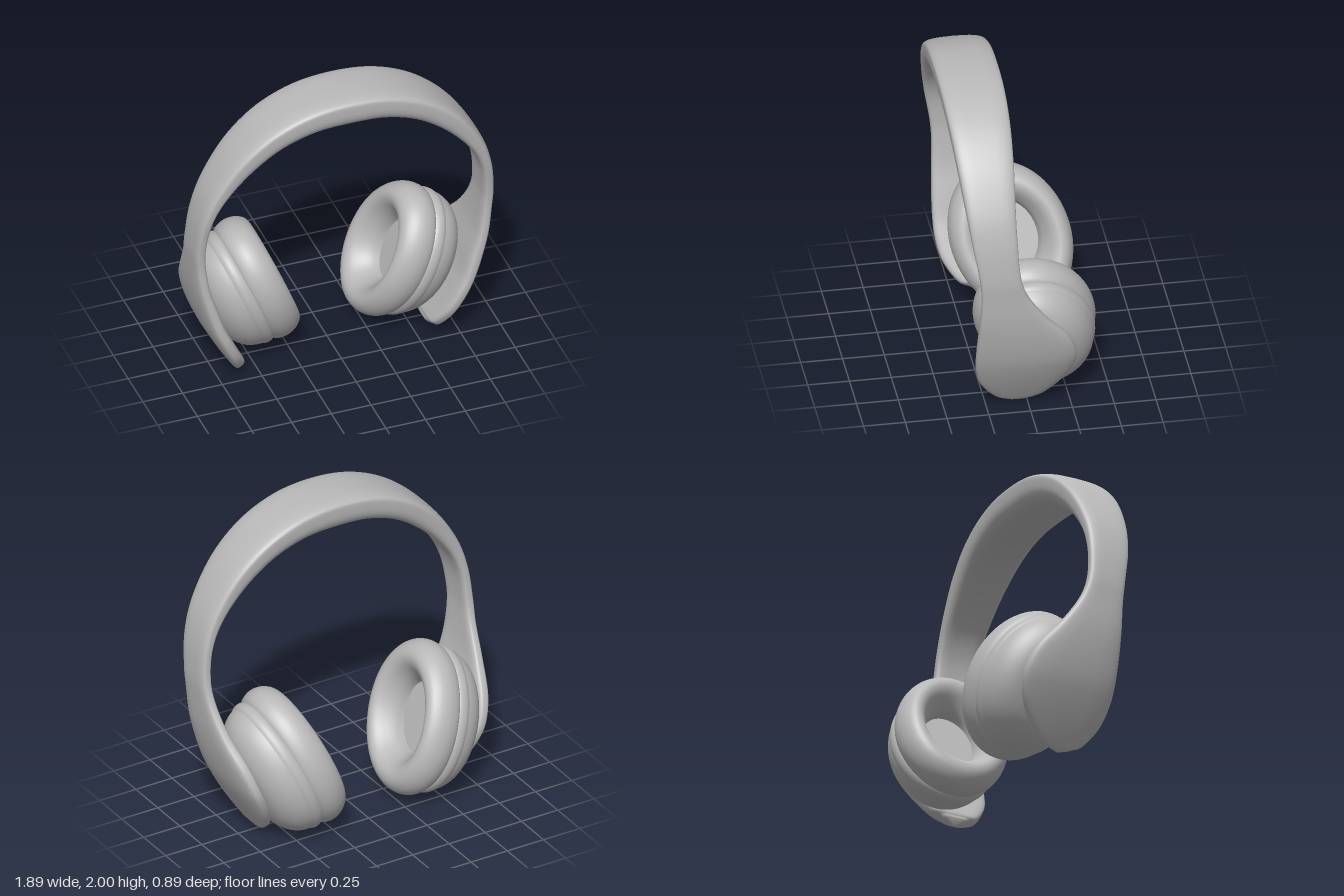
import * as THREE from 'three';

const grey = new THREE.MeshStandardMaterial({ color: 0xb8b8b8 });
grey.name = 'soft grey';

// Half of the band, crown to tip: outer x, outer y, thickness, back z, front z
const STATIONS = [
  [0, 2, 0.21, 0.07, 0.45],
  [0.26, 1.97, 0.197, 0.07, 0.447],
  [0.5, 1.867, 0.175, 0.075, 0.437],
  [0.7, 1.695, 0.147, 0.087, 0.42],
  [0.85, 1.465, 0.1, 0.1, 0.393],
  [0.918, 1.26, 0.073, 0.1, 0.365],
  [0.942, 1.05, 0.07, 0.085, 0.33],
  [0.937, 0.9, 0.07, 0.04, 0.318],
  [0.922, 0.72, 0.08, -0.075, 0.323],
  [0.89, 0.55, 0.095, -0.21, 0.33],
  [0.845, 0.4, 0.095, -0.267, 0.332],
  [0.79, 0.28, 0.095, -0.26, 0.325],
  [0.72, 0.155, 0.09, -0.205, 0.29],
  [0.65, 0.045, 0.08, -0.11, 0.205],
  [0.622, 0.01, 0.06, -0.02, 0.12],
];

const power = (v, e) => Math.sign(v) * Math.abs(v) ** e;

// Headband and both paddles: one loft of rounded sections along the arch
function bandGeometry() {
  const all = [
    ...STATIONS.slice(1).reverse().map(([x, ...rest]) => [-x, ...rest]),
    ...STATIONS,
  ];
  const curve = (f) => new THREE.CatmullRomCurve3(all.map(f), false, 'catmullrom', 0.5);
  const path = curve(([x, y]) => new THREE.Vector3(x, y, 0));
  const size = curve(([, , t, b, f]) => new THREE.Vector3(t, b, f));
  const rows = 168, ring = 48;
  const pos = [], index = [];

  for (let i = 0; i <= rows; i++) {
    const u = i / rows;
    const p = path.getPoint(u), s = size.getPoint(u), t = path.getTangent(u);
    const edge = Math.min(0.045, s.x / 2);
    const mid = (s.y + s.z) / 2, half = (s.z - s.y) / 2;
    // the thick crown padding is rounder than the thin sides
    const padPower = 0.45 + 0.22 * THREE.MathUtils.clamp((s.x - 0.1) / 0.1, 0, 1);
    for (let j = 0; j < ring; j++) {
      const a = (j / ring) * Math.PI * 2;
      const c = Math.cos(a), n = Math.sin(a);
      const across = power(c, n >= 0 ? 0.45 : padPower);
      // crisp outside edge, padded inside, whole section slightly domed
      const section = n >= 0 ? edge * (power(n, 0.5) - 1) : -edge + (s.x - edge) * power(n, 0.72);
      const depth = section - 0.28 * (half * across) ** 2;
      pos.push(p.x - t.y * depth, p.y + t.x * depth, mid + half * across);
    }
  }
  for (let i = 0; i < rows; i++) {
    for (let j = 0; j < ring; j++) {
      const k = (j + 1) % ring;
      const a = i * ring + j, b = i * ring + k;
      index.push(a, a + ring, b, b, a + ring, b + ring);
    }
  }
  // rounded tips closed with fans
  for (const row of [0, rows]) {
    const centre = [0, 0, 0];
    for (let j = 0; j < ring; j++) {
      for (let k = 0; k < 3; k++) centre[k] += pos[(row * ring + j) * 3 + k] / ring;
    }
    centre[1] = 0;
    const c = pos.length / 3;
    pos.push(...centre);
    for (let j = 0; j < ring; j++) {
      const a = row * ring + j, b = row * ring + ((j + 1) % ring);
      if (row === 0) index.push(c, a, b);
      else index.push(c, b, a);
    }
  }
  const g = new THREE.BufferGeometry();
  g.setAttribute('position', new THREE.Float32BufferAttribute(pos, 3));
  g.setIndex(index);
  g.computeVertexNormals();
  return g;
}

// Smooth turned part; points are [radius fraction, distance along the cup axis]
function turned(name, points, samples) {
  const pts = points.map(([r, s]) => new THREE.Vector2(r, s));
  const profile = samples
    ? new THREE.SplineCurve(pts).getPoints(samples).map((p) => p.set(Math.max(p.x, 0), p.y))
    : pts;
  const mesh = new THREE.Mesh(new THREE.LatheGeometry(profile, 72), grey);
  mesh.name = name;
  mesh.scale.set(0.466, 1, 0.357);
  return mesh;
}

// Oval ear cup, its axis pointing inward and slightly up, its top leaning forward
function earCup(side) {
  const cup = new THREE.Group();
  cup.name = side > 0 ? 'leftEarCup' : 'rightEarCup';
  cup.add(
    turned('housing', [
      [0, -0.55], [0.3, -0.545], [0.54, -0.527], [0.7, -0.495],
      [0.82, -0.45], [0.89, -0.4], [0.925, -0.35],
    ], 28),
    turned('housingRim', [
      [0.91, -0.365], [0.935, -0.35], [0.95, -0.33], [0.945, -0.305],
      [0.92, -0.285], [0.87, -0.275],
    ], 20),
    turned('cushion', [
      [0.87, -0.3], [0.94, -0.285], [0.985, -0.25], [1, -0.2], [0.965, -0.145],
      [0.88, -0.1], [0.77, -0.085], [0.66, -0.105], [0.56, -0.155],
      [0.49, -0.21], [0.46, -0.27],
    ], 44),
    turned('innerPad', [[0.5, -0.26], [0, -0.26]]),
  );
  cup.position.set(side * 0.228, 0.557, -0.075);
  cup.rotation.set(0, -side * 0.32, side * 1.185, 'ZYX');
  return cup;
}

export function createModel() {
  const model = new THREE.Group();
  model.name = 'headphones';
  const band = new THREE.Mesh(bandGeometry(), grey);
  band.name = 'headband';
  model.add(band, earCup(1), earCup(-1));
  return model;
}
